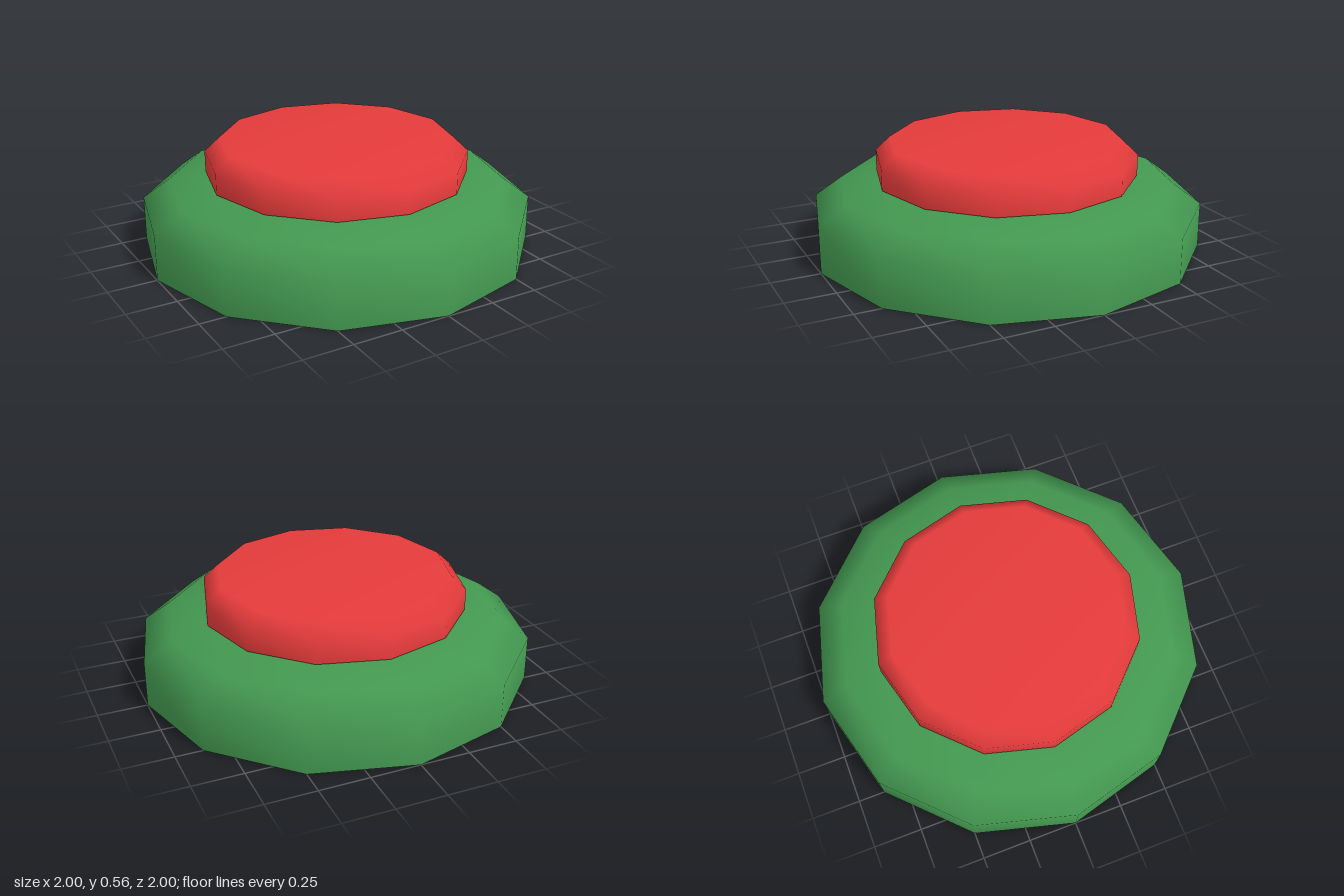
import * as THREE from 'three';

const SIDES = 12;

export function createModel() {
  const green = new THREE.MeshStandardMaterial({ color: 0x439850 });
  green.name = 'green';
  const red = new THREE.MeshStandardMaterial({ color: 0xe53b3b });
  red.name = 'red';

  // Smooth twelve-sided body turned from a profile, with a flat underside
  function turned(name, profile, material) {
    const part = new THREE.Group();
    part.name = name;
    const points = profile.map(([r, y]) => new THREE.Vector2(r, y));
    const body = new THREE.Mesh(new THREE.LatheGeometry(points, SIDES), material);
    body.name = name + 'Body';
    const bottom = new THREE.Mesh(
      new THREE.CircleGeometry(profile[0][0], SIDES).rotateX(Math.PI / 2), material);
    bottom.name = name + 'Underside';
    bottom.position.y = profile[0][1];
    part.add(body, bottom);
    return part;
  }

  const model = new THREE.Group();
  model.name = 'pushButton';
  model.add(
    turned('base', [[1, 0], [1, 0.23], [0.86, 0.333], [0.6, 0.378], [0, 0.378]], green),
    turned('buttonCap', [[0.672, 0.376], [0.672, 0.485], [0.595, 0.558], [0, 0.558]], red),
  );
  return model;
}
